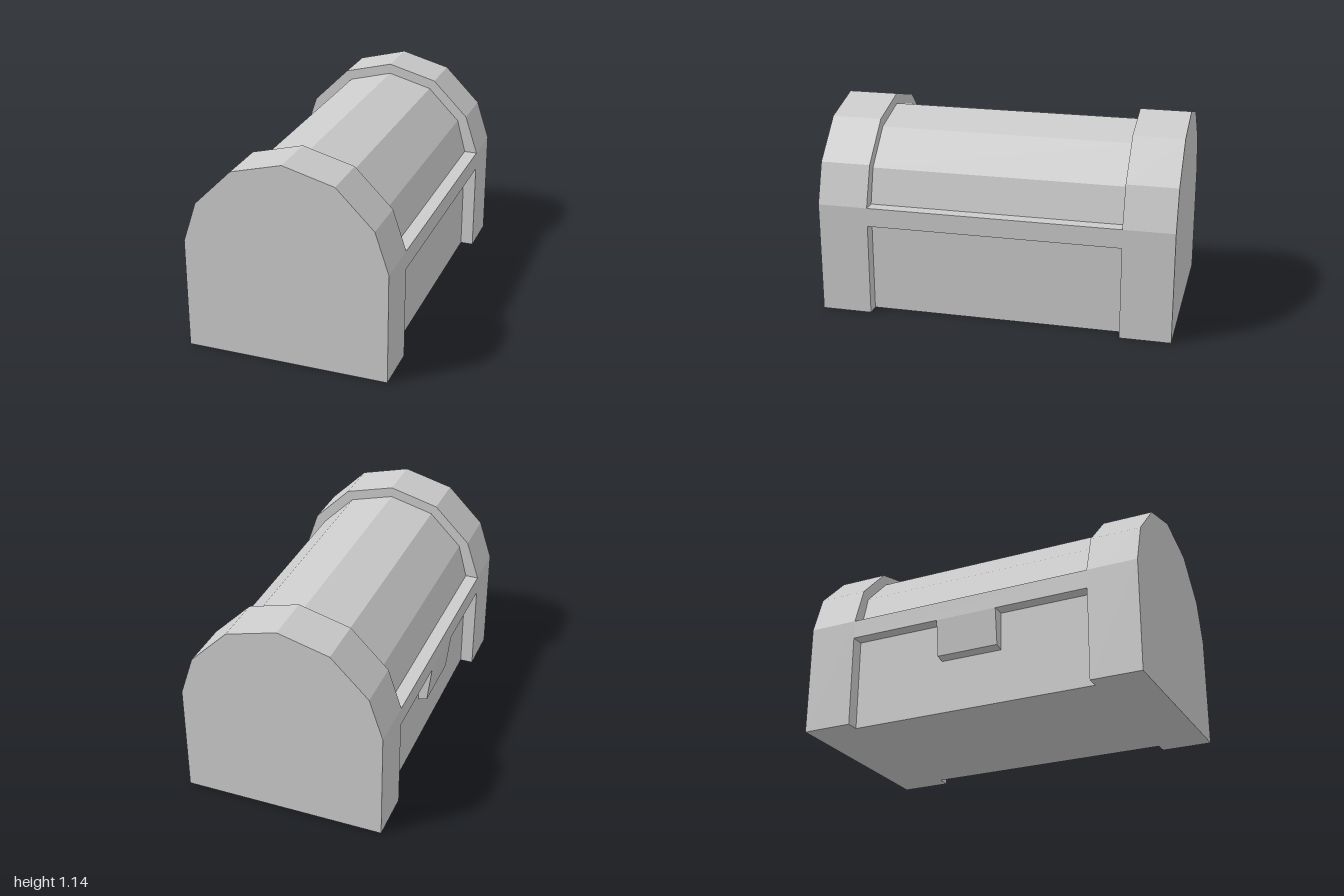
import * as THREE from 'three';

const material = new THREE.MeshStandardMaterial({ color: 0xcccccc, flatShading: true });

// Extrude an x/y outline along z, centred on z
function prism(name, points, depth, z = 0) {
  const shape = new THREE.Shape(points.map(([x, y]) => new THREE.Vector2(x, y)));
  const geometry = new THREE.ExtrudeGeometry(shape, { depth, bevelEnabled: false });
  geometry.translate(0, 0, z - depth / 2);
  const mesh = new THREE.Mesh(geometry, material);
  mesh.name = name;
  return mesh;
}

// Mirror the right half of an outline (bottom to top, ending at x = 0)
function mirrored(half) {
  const left = half.filter(([x]) => x > 0).reverse().map(([x, y]) => [-x, y]);
  return [...half, ...left];
}

export function createModel() {
  const chest = new THREE.Group();
  chest.name = 'chest';

  const outer = 0.57, inner = 0.495;
  const rimBottom = 0.525, rimTop = 0.632;
  const midLength = 1.43, endLength = 0.285;

  // Thick end blocks with the full domed outline
  const endOutline = mirrored([
    [outer, 0], [outer, rimTop], [0.494, 0.86], [0.285, 1.069], [0, 1.145],
  ]);
  for (const side of [1, -1]) {
    const name = side > 0 ? 'frontEnd' : 'backEnd';
    chest.add(prism(name, endOutline, endLength, side * (1 - endLength / 2)));
  }

  // Recessed box, projecting rim and faceted lid between the ends
  chest.add(prism('body', mirrored([[inner, 0], [inner, rimBottom], [0, rimBottom]]), midLength));
  chest.add(prism('rim', [
    [-outer, rimBottom], [outer, rimBottom], [outer, rimTop], [-outer, rimTop],
  ], midLength));
  chest.add(prism('lid', mirrored([
    [inner, rimTop], [0.442, 0.83], [0.256, 1.017], [0, 1.086],
  ]), midLength));

  // Tapered latch under the rim, on one side only
  chest.add(prism('latch', [
    [-inner, rimBottom], [-outer, rimBottom], [-0.546, 0.316], [-inner, 0.305],
  ], 0.36));

  return chest;
}
